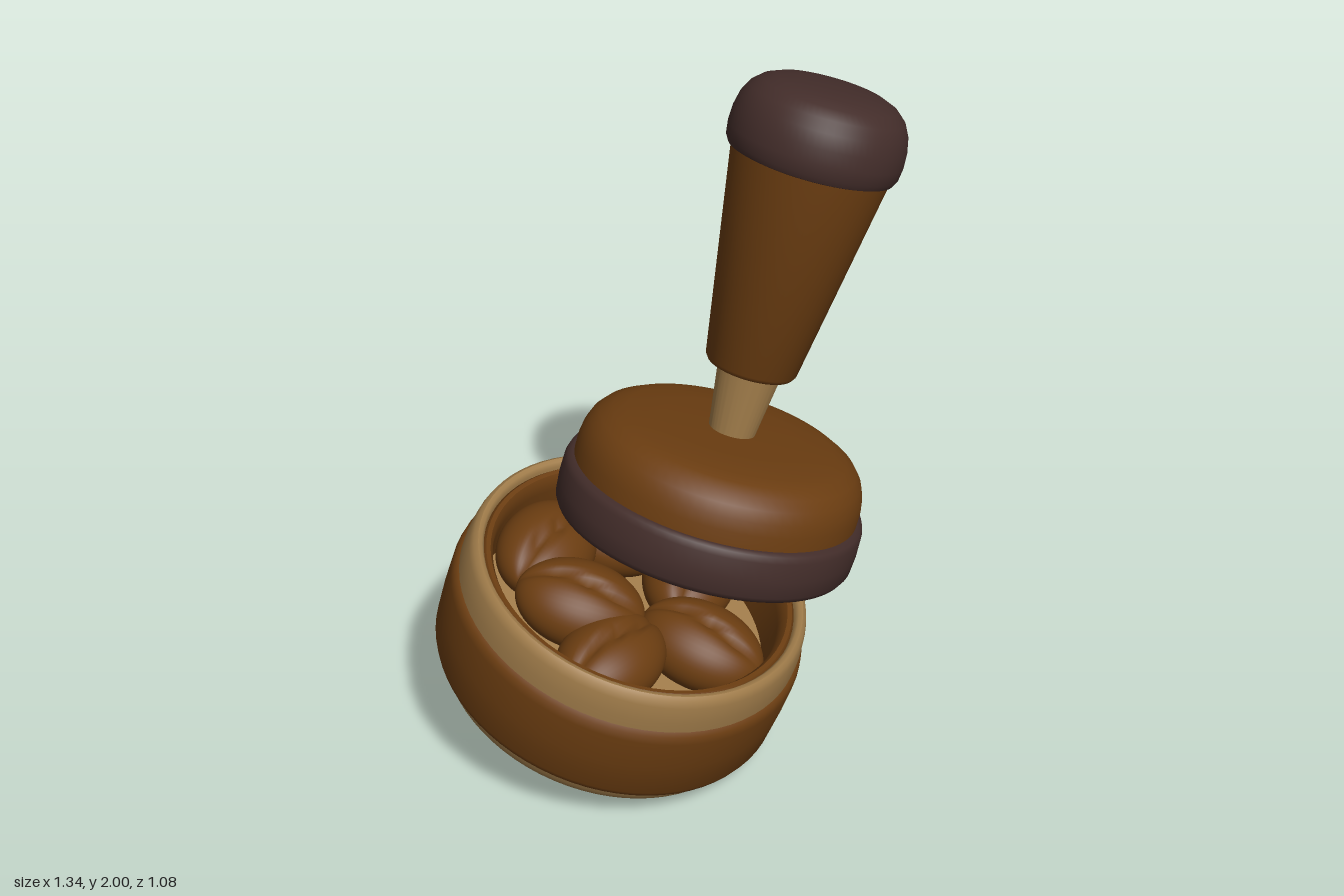
import * as THREE from 'three';
import { toCreasedNormals } from 'three/addons/utils/BufferGeometryUtils.js';

const mat = (color) => new THREE.MeshStandardMaterial({ color, side: THREE.DoubleSide });
const brown = mat(0x6b3d11), tan = mat(0xa07c4a), dark = mat(0x432d2a);

// Turned part: profile of [radius, height] points, bottom to top along the outside
function turned(name, material, profile) {
  const pts = profile.map(([r, y]) => new THREE.Vector2(r, y));
  const geo = toCreasedNormals(new THREE.LatheGeometry(pts, 72), 0.75);
  const mesh = new THREE.Mesh(geo, material);
  mesh.name = name;
  return mesh;
}

// Group standing at a point with its own y axis leaned to a direction
function leaned(name, pos, axis) {
  const g = new THREE.Group();
  g.name = name;
  g.position.set(...pos);
  g.quaternion.setFromUnitVectors(new THREE.Vector3(0, 1, 0), new THREE.Vector3(...axis).normalize());
  return g;
}

// Coffee bean: flattened ellipsoid with a wavy seam pressed into its top
function beanGeometry() {
  const geo = new THREE.SphereGeometry(1, 48, 40).rotateZ(Math.PI / 2);
  const p = geo.attributes.position;
  for (let i = 0; i < p.count; i++) {
    const x = p.getX(i), z = p.getZ(i);
    let y = p.getY(i);
    if (y > 0) {
      const d = z - 0.12 * Math.sin(x * 2.6);
      y *= 1 - 0.3 * Math.exp(-Math.abs(d) / 0.09);
    }
    p.setXYZ(i, x * 0.19, y * 0.11, z * 0.14);
  }
  geo.computeVertexNormals();
  return geo;
}

export function createModel() {
  const model = new THREE.Group();

  // Round basket with banded walls
  const basket = leaned('basket', [-0.147, 0.33, 0], [0.26, 1, 0.21]);
  basket.add(
    turned('basketFoot', tan, [
      [0, -0.21], [0.43, -0.21], [0.46, -0.203], [0.482, -0.185], [0.495, -0.16], [0.505, -0.11], [0.4, -0.11],
    ]),
    turned('basketWall', brown, [
      [0.45, -0.135], [0.505, -0.135], [0.518, -0.128], [0.525, -0.11], [0.53, 0],
      [0.53, 0.1], [0.525, 0.125], [0.514, 0.135], [0.45, 0.135],
    ]),
    turned('basketRim', tan, [
      [0.46, 0.1], [0.514, 0.12], [0.513, 0.17], [0.505, 0.22], [0.497, 0.242],
      [0.486, 0.25], [0.474, 0.247], [0.466, 0.235], [0.464, 0.2],
    ]),
    turned('basketLiner', brown, [
      [0.468, 0.19], [0.467, 0.222], [0.458, 0.232], [0.445, 0.23], [0.435, 0.215], [0.43, 0.18], [0.43, 0.03],
    ]),
    turned('basketFloor', tan, [[0.45, 0.035], [0, 0.035]]),
  );

  // Beans on the floor: x, y, z, turn about the upright, lean
  const bean = beanGeometry();
  [
    [-0.23, 0.15, -0.17, 0.9, 0.1],
    [-0.18, 0.16, 0.06, -0.35, 0.15],
    [-0.12, 0.13, 0.24, 0.7, -0.1],
    [0.04, 0.13, -0.27, 0.2, 0.1],
    [0.17, 0.13, 0.18, -0.6, 0.1],
    [0.21, 0.13, -0.1, 1.1, -0.1],
  ].forEach(([x, y, z, turn, lean], i) => {
    const mesh = new THREE.Mesh(bean, brown);
    mesh.name = `bean${i + 1}`;
    mesh.position.set(x, y, z);
    mesh.rotation.set(lean, turn, 0, 'YXZ');
    basket.add(mesh);
  });

  // Tamper hovering above, hollow underneath
  const tamper = leaned('tamper', [0.1, 0.765, 0.08], [0.3, 1, -0.093]);
  tamper.add(
    turned('tamperBand', dark, [
      [0.385, 0.0], [0.387, -0.055], [0.395, -0.068], [0.41, -0.072], [0.424, -0.066], [0.433, -0.05],
      [0.436, 0], [0.434, 0.055], [0.428, 0.073], [0.416, 0.08], [0.38, 0.08],
    ]),
    turned('tamperHollow', brown, [[0, 0.04], [0.36, 0.04], [0.387, 0.02], [0.388, -0.05]]),
    turned('tamperHead', brown, [
      [0.38, 0.07], [0.411, 0.075], [0.411, 0.12], [0.405, 0.155], [0.392, 0.187], [0.37, 0.213],
      [0.338, 0.231], [0.3, 0.241], [0.2, 0.248], [0, 0.25],
    ]),
    turned('stem', tan, [[0, 0.22], [0.063, 0.22], [0.095, 0.47], [0, 0.47]]),
    turned('handle', brown, [
      [0, 0.436], [0.11, 0.436], [0.122, 0.44], [0.13, 0.452], [0.222, 1.06], [0, 1.06],
    ]),
    turned('pommel', dark, [
      [0, 1.035], [0.212, 1.035], [0.228, 1.04], [0.237, 1.056], [0.241, 1.09], [0.239, 1.13],
      [0.23, 1.17], [0.213, 1.202], [0.186, 1.226], [0.15, 1.241], [0.09, 1.25], [0, 1.253],
    ]),
  );

  model.add(basket, tamper);
  return model;
}
